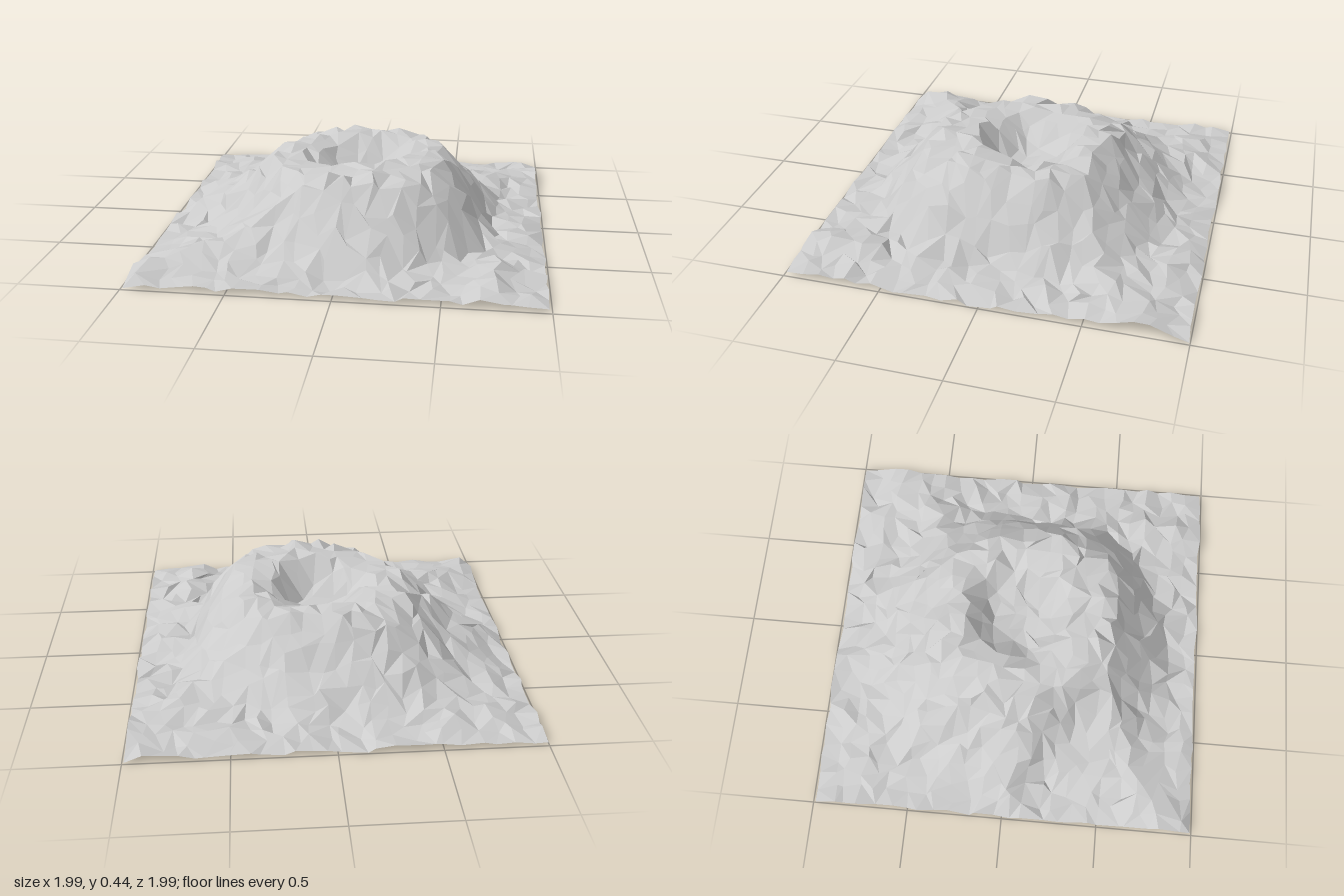
import * as THREE from 'three';

// Small seeded random generator
function makeRandom(seed) {
  let s = seed;
  return () => (s = (s * 16807) % 2147483647) / 2147483647;
}

const lerp = THREE.MathUtils.lerp;
const clamp01 = (v) => THREE.MathUtils.clamp(v, 0, 1);

// Hill outline at eight compass points, from +x turning towards +z
const SHOULDER = [0.45, 0.55, 0.50, 0.46, 0.40, 0.45, 0.41, 0.45]; // where the flank starts
const BASE = [0.70, 0.81, 0.83, 0.86, 0.95, 0.92, 0.80, 0.82]; // where the flank ends
const RIM = [0.455, 0.46, 0.455, 0.435, 0.43, 0.435, 0.44, 0.445]; // height of the crest
const CURVE = [0.6, 0.8, 1.15, 1.3, 1.55, 1.4, 1.35, 1.05]; // below 1 bulges, above 1 is hollow

function around(table, angle) {
  const t = ((angle / (Math.PI * 2) + 1) % 1) * 8;
  const i = Math.floor(t);
  return lerp(table[i % 8], table[(i + 1) % 8], THREE.MathUtils.smoothstep(t - i, 0, 1));
}

// Spurs and gullies that run down the flanks: [x1, z1, x2, z2, width, height]
const SPURS = [
  [-0.42, 0.54, -0.90, 0.84, 0.10, 0.06],
  [-0.78, 0.18, -0.38, 0.40, 0.10, -0.05],
  [-0.50, 0.10, -0.85, 0.02, 0.10, 0.03],
  [-0.30, -0.45, -0.50, -0.85, 0.10, 0.03],
  [0.66, -0.50, 0.95, -0.75, 0.12, 0.04],
  [0.78, 0.62, 0.72, 0.95, 0.09, 0.04],
  [0.28, 0.15, 0.32, 0.15, 0.10, 0.03],
];

function spurHeight(x, z, [x1, z1, x2, z2, width, height]) {
  const dx = x2 - x1, dz = z2 - z1;
  const t = clamp01(((x - x1) * dx + (z - z1) * dz) / (dx * dx + dz * dz));
  const d = Math.hypot(x - x1 - t * dx, z - z1 - t * dz) / width;
  return height * Math.exp(-d * d);
}

// Height of the land: gentle ground, steep flanks, a rounded crest and a crater
function landHeight(x, z) {
  const angle = Math.atan2(z, x), r = Math.hypot(x, z);
  const shoulder = around(SHOULDER, angle);
  const base = around(BASE, angle);
  const rim = around(RIM, angle);
  const ground = 0.09 - 0.037 * clamp01((Math.max(Math.abs(x), Math.abs(z)) - 0.7) / 0.3);
  const flank = 1 - clamp01((r - shoulder) / (base - shoulder));
  let y = lerp(ground, rim, Math.pow(flank, around(CURVE, angle)));
  const wall = clamp01((Math.hypot(x - 0.03, z) - 0.08) / 0.24);
  if (r < shoulder) y = lerp(0.27, y, THREE.MathUtils.smoothstep(wall, 0, 1));
  for (const spur of SPURS) y += spurHeight(x, z, spur);
  return y + 0.008 * Math.sin(11 * x + 4 * z) * Math.sin(9 * z - 5 * x);
}

function terrainGeometry(n) {
  const random = makeRandom(4217);
  const positions = [], index = [];
  const step = 1.98 / n;
  let lowest = Infinity;

  // Jittered grid; the border stays almost straight
  for (let j = 0; j <= n; j++) {
    for (let i = 0; i <= n; i++) {
      const sideX = i === 0 || i === n, sideZ = j === 0 || j === n;
      const x = -0.99 + i * step + (random() - 0.5) * (sideX ? 0.015 : step * 0.8);
      const z = -0.99 + j * step + (random() - 0.5) * (sideZ ? 0.015 : step * 0.8);
      const rough = sideX || sideZ ? 0.03 : 0.045;
      const y = landHeight(x, z) + (random() - 0.5) * rough;
      lowest = Math.min(lowest, y);
      positions.push(x, y, z);
    }
  }
  for (let k = 1; k < positions.length; k += 3) positions[k] -= lowest;

  // Two triangles per cell, split along either diagonal
  for (let j = 0; j < n; j++) {
    for (let i = 0; i < n; i++) {
      const a = j * (n + 1) + i, b = a + 1, c = a + n + 1, d = c + 1;
      if (random() < 0.5) index.push(a, c, b, b, c, d);
      else index.push(a, c, d, a, d, b);
    }
  }

  const geometry = new THREE.BufferGeometry();
  geometry.setAttribute('position', new THREE.Float32BufferAttribute(positions, 3));
  geometry.setIndex(index);
  const faceted = geometry.toNonIndexed();
  faceted.computeVertexNormals();
  return faceted;
}

export function createModel() {
  const group = new THREE.Group();
  group.name = 'craterHill';
  const rock = new THREE.MeshStandardMaterial({
    color: 0xcccccc, flatShading: true, side: THREE.DoubleSide,
  });
  const terrain = new THREE.Mesh(terrainGeometry(25), rock);
  terrain.name = 'terrain';
  group.add(terrain);
  return group;
}
